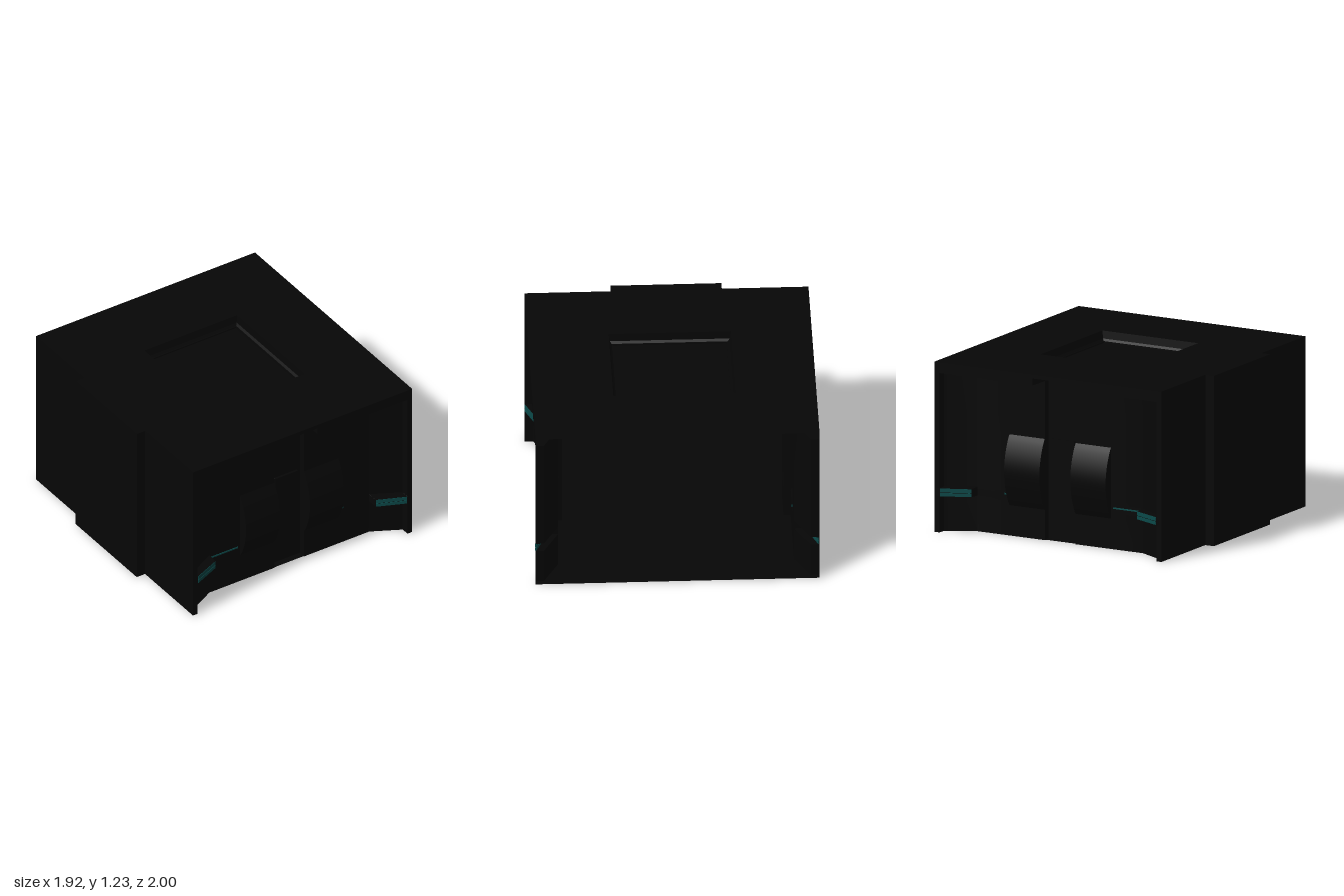
import * as THREE from 'three';
import { toCreasedNormals } from 'three/addons/utils/BufferGeometryUtils.js';

const dark = new THREE.MeshStandardMaterial({ color: 0x060606, side: THREE.DoubleSide });
const teal = new THREE.MeshStandardMaterial({ color: 0x0b4a4a });
const H = 1.23; // room height

// Sheet through a grid of points: point(u, v) for every station pair
function sheet(us, vs, point) {
  const pos = [], index = [], n = vs.length;
  for (const u of us) for (const v of vs) pos.push(...point(u, v));
  for (let i = 0; i < us.length - 1; i++) {
    for (let j = 0; j < n - 1; j++) {
      const a = i * n + j, b = a + n;
      index.push(a, b, b + 1, a, b + 1, a + 1);
    }
  }
  const g = new THREE.BufferGeometry();
  g.setAttribute('position', new THREE.Float32BufferAttribute(pos, 3));
  g.setIndex(index);
  return toCreasedNormals(g, 0.45);
}

function add(parent, name, geometry, material = dark) {
  const mesh = new THREE.Mesh(geometry, material);
  mesh.name = name;
  parent.add(mesh);
  return mesh;
}

function polygon(points) {
  return new THREE.Shape(points.map(([x, z]) => new THREE.Vector2(x, z)));
}

// How far the side wall steps into the room at x, y
function wallDepth(x, y) {
  // central rib with rounded top and an inset panel
  if (x > -0.09 && x < 0.16 && y < 1.2) {
    const panel = x > -0.06 && x < 0.13 && y > 0.22 && y < 0.73;
    const roundedTop = 0.05 * Math.max(0, (y - 1.15) / 0.05) ** 2;
    return (panel ? 0.205 : 0.22) - roundedTop;
  }
  // 0 at the corner posts, 1 on the flat part, sloping between
  const slope = Math.min(1, (x + 0.85) / 0.21, (0.92 - x) / 0.21);
  if (slope <= 0 || y > 1.15) return 0;
  // groove for the light strips
  if (slope < 1 && y > 0.26 && y < 0.32) return 0.09 * slope;
  // curved niches on both sides of the rib
  if (x > -0.38 && x < 0.45 && y > 0.22 && y < 0.73) {
    return 0.17 - 0.075 * Math.sin((Math.PI * (y - 0.22)) / 0.51) ** 0.8;
  }
  return 0.06 + 0.11 * slope;
}

// Stations doubled around each step
const steps = (list) => list.flatMap((v) => [v - 0.001, v + 0.001]);

function sideWall() {
  const wall = new THREE.Group();
  const xs = [-0.89, ...steps([-0.85, -0.64, -0.38, -0.09, -0.06, 0.13, 0.16, 0.45, 0.71, 0.92]), 0.96];
  const ys = [0, ...steps([0.22, 0.26, 0.32, 0.73, 1.15, 1.2]), 1.17, 1.185, H];
  for (let i = 1; i < 20; i++) ys.push(0.22 + (0.51 * i) / 20);
  ys.sort((a, b) => a - b);
  add(wall, 'wallPanel', sheet(xs, ys, (x, y) => [x, y, 1 - wallDepth(x, y)]));

  // light strips in the grooves of the slanted ends
  const angle = Math.atan2(0.09, 0.21);
  for (const [x, s] of [[-0.745, 1], [0.815, -1]]) {
    for (const [y, h] of [[0.274, 0.024], [0.304, 0.028]]) {
      const strip = add(wall, 'lightStrip', new THREE.BoxGeometry(0.222, h, 0.01), teal);
      strip.position.set(x, y, 0.953);
      strip.rotation.y = s * angle;
    }
  }
  // thin light line leading to the niche
  add(wall, 'lightLine', new THREE.BoxGeometry(0.24, 0.01, 0.012), teal).position.set(-0.52, 0.298, 0.83);
  add(wall, 'lightDot', new THREE.BoxGeometry(0.015, 0.012, 0.012), teal).position.set(0.48, 0.298, 0.83);
  return wall;
}

export function createModel() {
  const room = new THREE.Group();
  room.name = 'room';

  // Mirrored side walls
  for (const s of [1, -1]) {
    const wall = sideWall();
    wall.name = s > 0 ? 'frontWall' : 'backWall';
    wall.scale.z = s;
    room.add(wall);
  }

  // End wall with a shallow full-height alcove; the other end is open
  const endLine = [[-0.89, 1], [-0.89, 0.39], [-0.96, 0.39], [-0.96, -0.39], [-0.89, -0.39], [-0.89, -1]];
  add(room, 'endWall', sheet(endLine, [0, H], ([x, z], y) => [x, y, z]));

  // Floor follows the plan of the walls
  const side = [[0.96, 1], [0.92, 1], [0.92, 0.94], [0.71, 0.83], [-0.64, 0.83], [-0.85, 0.94],
    [-0.85, 1], [-0.89, 1], [-0.89, 0.39], [-0.96, 0.39]];
  const mirrored = side.map(([x, z]) => [x, -z]).reverse();
  const floor = new THREE.ShapeGeometry(polygon([...side, ...mirrored])).rotateX(Math.PI / 2);
  add(room, 'floor', floor).position.y = 0.004;

  // Ceiling with a square well
  const cx = 0.04, wx = 0.39, wz = 0.43;
  const rect = (a, b) => [[cx - a, -b], [cx + a, -b], [cx + a, b], [cx - a, b]];
  const ceiling = polygon([[0.96, 1], [-0.89, 1], [-0.89, 0.39], [-0.96, 0.39],
    [-0.96, -0.39], [-0.89, -0.39], [-0.89, -1], [0.96, -1]]);
  ceiling.holes.push(polygon(rect(wx, wz)));
  add(room, 'ceiling', new THREE.ShapeGeometry(ceiling).rotateX(Math.PI / 2)).position.y = H;

  const rings = [[wx, wz, H], [wx - 0.008, wz - 0.008, 1.175], [wx - 0.03, wz - 0.03, 1.15], [0.001, 0.001, 1.15]];
  add(room, 'ceilingWell', sheet(rings, [0, 1, 2, 3, 0], ([a, b, y], k) => {
    const [x, z] = rect(a, b)[k];
    return [x, y, z];
  }));

  // Flat eight-sided frame hanging under the ceiling around the well
  const frame = polygon([[0.81, 0.25], [0.59, 0.58], [-0.51, 0.58], [-0.73, 0.25],
    [-0.73, -0.25], [-0.51, -0.58], [0.59, -0.58], [0.81, -0.25]]);
  frame.holes.push(polygon(rect(wx - 0.03, wz - 0.03)));
  const frameGeo = new THREE.ExtrudeGeometry(frame, { depth: 0.03, bevelEnabled: false }).rotateX(Math.PI / 2);
  add(room, 'ceilingFrame', frameGeo).position.y = 1.16;

  return room;
}
